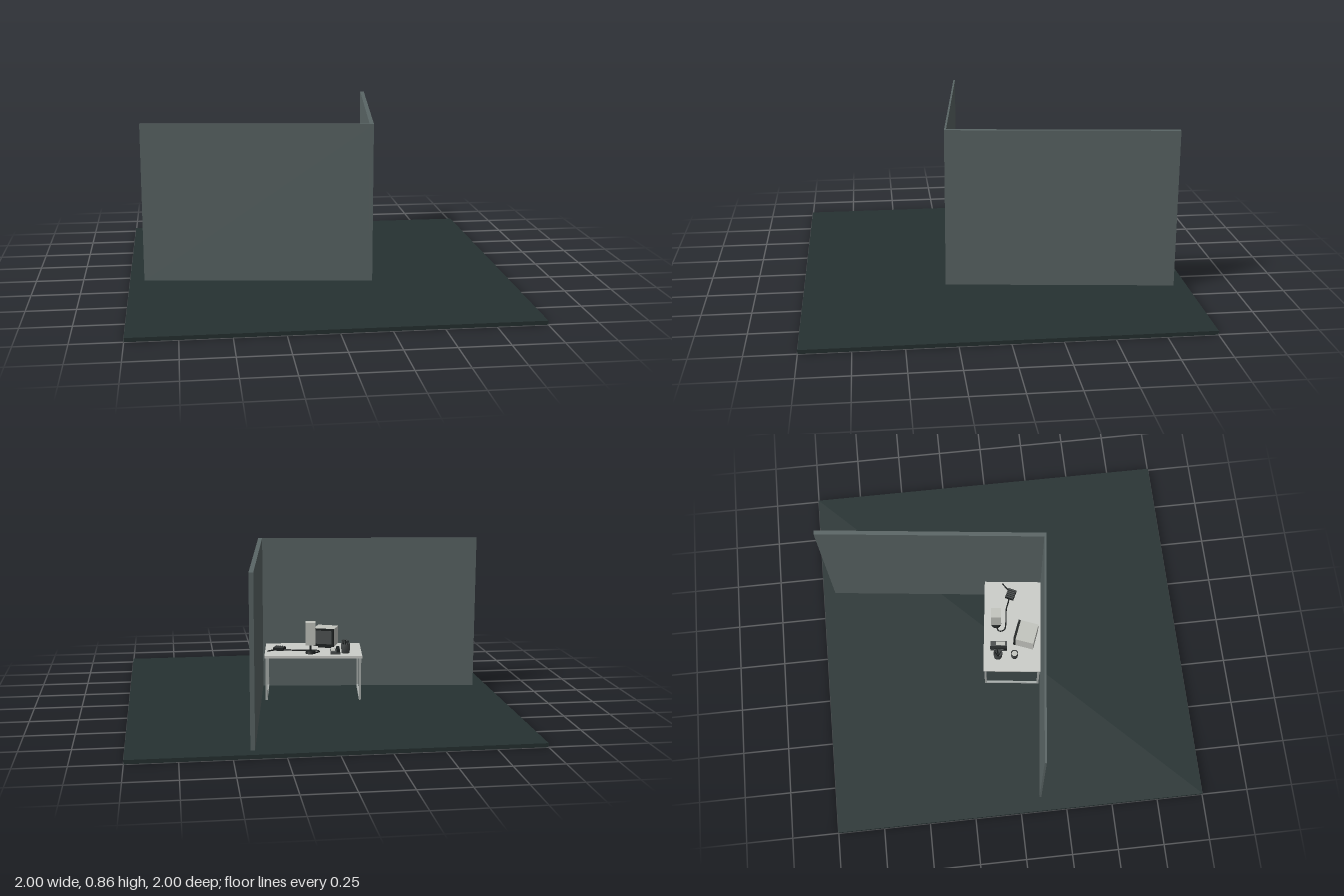
import * as THREE from 'three';

const TURN = -0.118;   // angle of the room corner on the floor
const DESK_Y = 0.265;  // height of the desk surface

const mat = (name, color, extra = {}) => {
  const m = new THREE.MeshStandardMaterial({ color, ...extra });
  m.name = name;
  return m;
};

export function createModel() {
  const floorMat = mat('dark floor', 0x263232);
  const wallMat = mat('grey green wall', 0x5a6565);
  const deskMat = mat('pale desk', 0xcbcdc9);
  const metalMat = mat('leg metal', 0xa9aeac);
  const caseMat = mat('pale casing', 0xc2c4be);
  const blackMat = mat('black plastic', 0x1c2020);
  const greyMat = mat('dark grey', 0x4a4e4e, { side: THREE.DoubleSide });

  const model = new THREE.Group();
  model.name = 'officeCorner';

  const add = (parent, name, geo, material, x = 0, y = 0, z = 0) => {
    const m = new THREE.Mesh(geo, material);
    m.name = name;
    m.position.set(x, y, z);
    parent.add(m);
    return m;
  };
  const box = (parent, name, material, w, h, d, x, y, z) =>
    add(parent, name, new THREE.BoxGeometry(w, h, d), material, x, y, z);
  const group = (parent, name, x, y, z, turn = 0) => {
    const g = new THREE.Group();
    g.name = name;
    g.position.set(x, y, z);
    g.rotation.y = turn;
    parent.add(g);
    return g;
  };

  box(model, 'floor', floorMat, 2, 0.02, 2, 0, 0.01, 0);

  // Two walls meeting at the outer corner
  const corner = group(model, 'roomCorner', 0.275, 0.02, 0.26, TURN);
  box(corner, 'longWall', wallMat, 1.208, 0.84, 0.01, -0.604, 0.42, -0.005);
  box(corner, 'sideWall', wallMat, 0.022, 0.84, 1.2, -0.011, 0.42, -0.6);

  // Desk with a rectangular loop frame at each end
  const desk = group(model, 'desk', -0.005, 0, 0.058, TURN);
  box(desk, 'deskTop', deskMat, 0.525, 0.014, 0.314, 0, DESK_Y - 0.007, 0);
  const bar = 0.011, legTop = DESK_Y - 0.014, legH = legTop - 0.02;
  for (const sx of [-1, 1]) {
    const x = sx * 0.252;
    for (const sz of [-1, 1])
      box(desk, 'deskLeg', metalMat, bar, legH, bar, x, 0.02 + legH / 2, sz * 0.146);
    for (const y of [0.02 + bar / 2, legTop - bar / 2])
      box(desk, 'legRail', metalMat, bar, bar, 0.281, x, y, 0);
  }

  // Boxy monitor with its screen toward the room
  const monitor = group(model, 'monitor', -0.085, DESK_Y, 0.125, -0.37);
  box(monitor, 'monitorFoot', blackMat, 0.07, 0.012, 0.07, 0, 0.006, 0);
  box(monitor, 'monitorCase', caseMat, 0.115, 0.098, 0.1, 0, 0.061, 0.004);
  box(monitor, 'monitorBezel', blackMat, 0.115, 0.098, 0.012, 0, 0.061, -0.052);
  box(monitor, 'monitorScreen', greyMat, 0.092, 0.074, 0.003, 0, 0.063, -0.0585);

  // Lamp with a square shade
  const lamp = group(model, 'lamp', 0.02, DESK_Y, -0.03, TURN);
  add(lamp, 'lampBase', new THREE.CylinderGeometry(0.025, 0.029, 0.014, 16), blackMat, 0, 0.007, 0);
  add(lamp, 'lampStem', new THREE.CylinderGeometry(0.006, 0.006, 0.05, 8), blackMat, 0, 0.035, 0);
  box(lamp, 'lampShade', caseMat, 0.054, 0.125, 0.054, 0, 0.11, 0);

  // Cable running across the desk
  const path = [[-0.005, -0.03], [-0.027, -0.02], [-0.025, 0.01], [0.02, 0.025], [0.095, 0.035],
    [0.15, 0.055], [0.2, 0.06], [0.25, 0.03]]
    .map(([x, z]) => new THREE.Vector3(x, DESK_Y + 0.004, z));
  add(model, 'cable', new THREE.TubeGeometry(new THREE.CatmullRomCurve3(path), 40, 0.004, 6), blackMat);

  // Small ribbed device at the cable's end
  const device = group(model, 'device', 0.18, DESK_Y, 0.07, -0.45);
  box(device, 'deviceBody', blackMat, 0.058, 0.016, 0.048, 0, 0.008, 0);
  for (let i = -2; i <= 2; i++)
    box(device, 'deviceRib', greyMat, 0.005, 0.004, 0.044, i * 0.011, 0.018, 0);

  // Desk telephone
  const phone = group(model, 'telephone', -0.115, DESK_Y, -0.03, TURN);
  box(phone, 'phoneBase', greyMat, 0.052, 0.012, 0.09, 0, 0.006, 0);
  box(phone, 'phoneKeypad', caseMat, 0.02, 0.003, 0.05, 0.012, 0.0135, 0.01);
  box(phone, 'phoneHandset', blackMat, 0.014, 0.01, 0.094, -0.015, 0.021, 0);
  for (const z of [-0.036, 0.036])
    box(phone, 'handsetEnd', blackMat, 0.018, 0.012, 0.02, -0.015, 0.016, z);

  // Open cups turned from a simple profile
  const cup = (name, x, z, r, h) => {
    const g = group(model, name, x, DESK_Y, z);
    const profile = [[0, 0], [r * 0.9, 0], [r, h], [r * 0.82, h], [r * 0.75, 0.006], [0, 0.006]]
      .map(([a, b]) => new THREE.Vector2(a, b));
    add(g, name + 'Body', new THREE.LatheGeometry(profile, 20), greyMat);
    return g;
  };
  const penCup = cup('penCup', -0.17, -0.04, 0.025, 0.05);
  for (let i = 0; i < 4; i++) {
    const a = i * 1.6;
    const pen = add(penCup, 'pen', new THREE.CylinderGeometry(0.003, 0.003, 0.06, 6), blackMat,
      Math.cos(a) * 0.009, 0.036, Math.sin(a) * 0.009);
    pen.rotation.set(Math.sin(a) * 0.2, 0, -Math.cos(a) * 0.2);
  }
  const mug = cup('mug', -0.18, 0.05, 0.02, 0.048);
  add(mug, 'mugInside', new THREE.CylinderGeometry(0.0155, 0.0155, 0.002, 20), caseMat, 0, 0.04, 0);

  return model;
}
